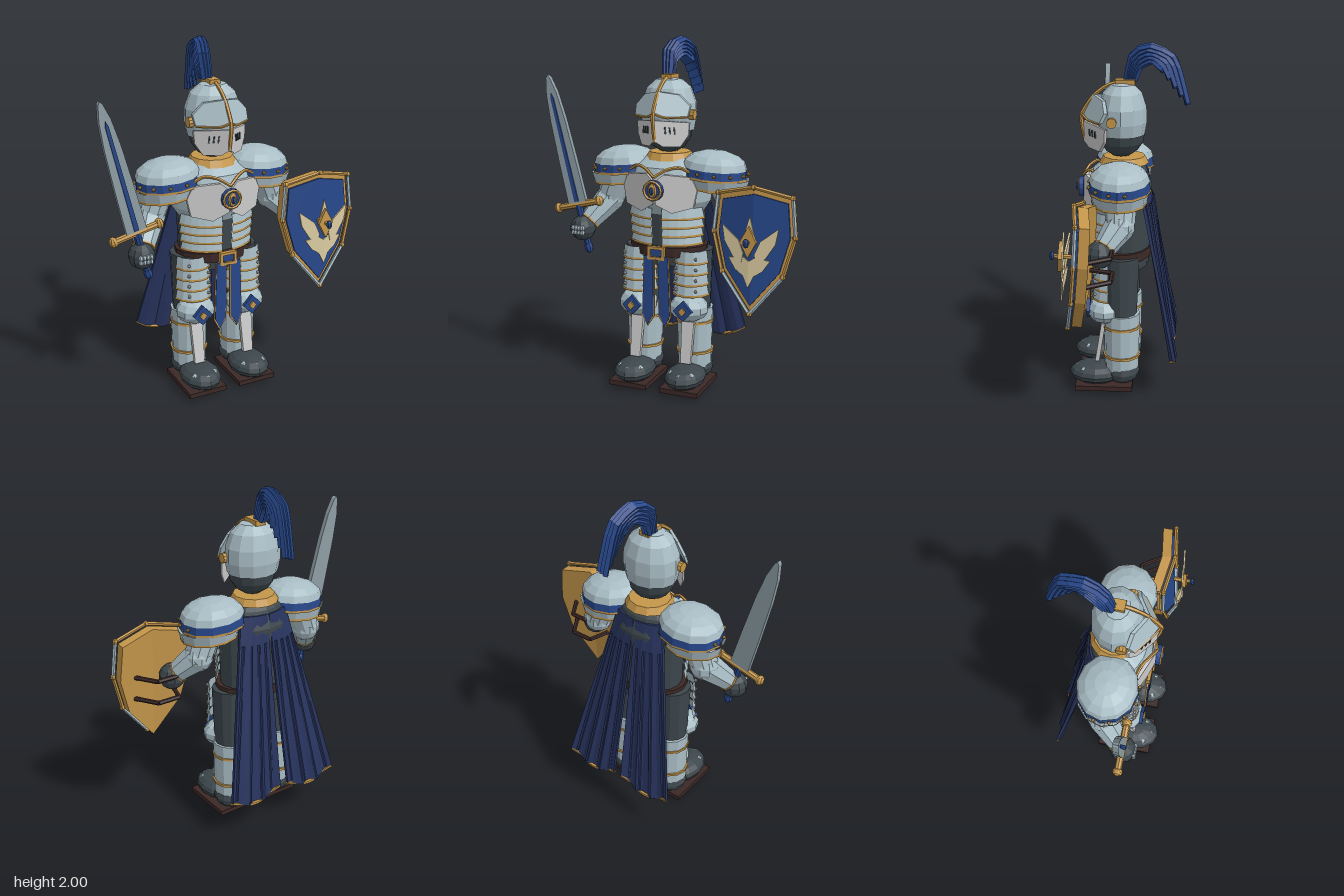
import * as THREE from 'three';

const mat = (color) => new THREE.MeshStandardMaterial({ color, flatShading: true, side: THREE.DoubleSide });
const STEEL = mat(0xa9bdc5), PALE = mat(0xcccccc), DARK = mat(0x3c464b), BLUE = mat(0x27478a), CAPE = mat(0x28345f);
const GOLD = mat(0xc4964a), BROWN = mat(0x3b2826), CREAM = mat(0xd9c99f), BLADE = mat(0x8f9fa6);
const V = (x, y, z) => new THREE.Vector3(x, y, z);

function add(parent, name, geo, material, x = 0, y = 0, z = 0) {
  const m = new THREE.Mesh(geo, material);
  m.name = name;
  m.position.set(x, y, z);
  parent.add(m);
  return m;
}
const ball = (p, name, material, x, y, z, rx, ry = rx, rz = rx, w = 10, h = 7) => {
  const m = add(p, name, new THREE.SphereGeometry(1, w, h), material, x, y, z);
  m.scale.set(rx, ry, rz);
  return m;
};
const box = (p, name, material, x, y, z, w, h, d) => add(p, name, new THREE.BoxGeometry(w, h, d), material, x, y, z);
const tube = (p, name, material, pts, r, seg = 12, closed = false, sides = 5) =>
  add(p, name, new THREE.TubeGeometry(new THREE.CatmullRomCurve3(pts, closed, 'catmullrom', 0.3), seg, r, sides, closed), material);
// Tapered rod between two points
function limb(p, name, material, a, b, ra, rb, sides = 10) {
  const m = add(p, name, new THREE.CylinderGeometry(rb, ra, a.distanceTo(b), sides), material);
  m.position.copy(a).add(b).multiplyScalar(0.5);
  m.quaternion.setFromUnitVectors(V(0, 1, 0), b.clone().sub(a).normalize());
  return m;
}
// Open curved strip of armour with a gold lower edge; angle 0 faces forward
function band(p, name, material, x, z, y0, y1, r0, r1, a0, a1, zs = 1, trim = true, seg = 6) {
  const strip = (m, lo, hi, ra, rb, n) =>
    add(p, n, new THREE.CylinderGeometry(rb, ra, hi - lo, seg, 1, true, a0, a1 - a0), m, x, (lo + hi) / 2, z).scale.set(1, 1, zs);
  strip(material, y0, y1, r0, r1, name);
  if (trim) strip(GOLD, y0 - 0.006, y0 + 0.007, r0 + 0.004, r0 + 0.004, name + 'Trim');
}
// Extruded outline, mirrored by s, folded back by k from the middle and leaning by lean
function plate(p, name, material, pts, s, depth, z, k = 0, lean = 0, y0 = 0) {
  const g = new THREE.ExtrudeGeometry(new THREE.Shape(pts.map(([x, y]) => new THREE.Vector2(x * s, y))), { depth, bevelEnabled: false });
  const q = g.attributes.position;
  for (let i = 0; i < q.count; i++) q.setZ(i, q.getZ(i) + z - k * Math.abs(q.getX(i)) - lean * (q.getY(i) - y0));
  g.computeVertexNormals();
  return add(p, name, g, material);
}
const diamond = (w, h) => [[0, h], [w, 0], [0, -h], [-w, 0]];

function leg(body, s) {
  const g = new THREE.Group();
  g.name = s > 0 ? 'leftLeg' : 'rightLeg';
  g.position.x = s * 0.157;
  body.add(g);
  box(g, 'sole', BROWN, 0, 0.035, 0.105, 0.23, 0.028, 0.33);
  ball(g, 'soleTread', BROWN, 0, 0.025, 0.105, 0.08, 0.025, 0.12);
  ball(g, 'bootToe', DARK, 0, 0.095, 0.155, 0.115, 0.065, 0.155, 12, 8);
  ball(g, 'bootHeel', DARK, 0, 0.11, 0.0, 0.108, 0.075, 0.1, 12, 8);
  for (const x of [-0.06, 0, 0.06]) ball(g, 'bootStud', STEEL, x, 0.125, 0.255 - Math.abs(x) * 0.6, 0.02, 0.018, 0.025, 6, 5);
  add(g, 'greave', new THREE.CylinderGeometry(0.105, 0.098, 0.35, 12), STEEL, 0, 0.3, 0.005);
  for (const y of [0.215, 0.395]) add(g, 'greaveRing', new THREE.CylinderGeometry(0.11, 0.11, 0.014, 12), GOLD, 0, y, 0.005);
  plate(g, 'shinPlate', PALE, [[-0.03, 0.17], [0.03, 0.17], [0.037, 0.41], [-0.037, 0.41]], 1, 0.025, 0.135, 0, 0.16, 0.17);
  ball(g, 'knee', STEEL, 0, 0.49, 0.1, 0.115, 0.08, 0.1);
  plate(g, 'kneeDiamond', BLUE, diamond(0.056, 0.06), 1, 0.02, 0.185).position.y = 0.495;
  plate(g, 'kneeGem', GOLD, diamond(0.022, 0.026), 1, 0.012, 0.203).position.y = 0.495;
  add(g, 'thigh', new THREE.CylinderGeometry(0.105, 0.09, 0.4, 12), DARK, 0, 0.62, 0.01);
  for (let i = 0; i < 4; i++) {
    const y = 0.575 + i * 0.062;
    band(g, 'tasset', STEEL, 0, 0.05, y, y + 0.068, 0.112 - i * 0.002, 0.098, -1.35, 1.35, 1.1);
    for (const x of [-0.06, 0.06]) ball(g, 'rivet', PALE, x, y + 0.03, 0.155, 0.01, 0.01, 0.01, 6, 4);
  }
}

function arm(body, s, hand) {
  const g = new THREE.Group();
  g.name = s > 0 ? 'leftArm' : 'rightArm';
  body.add(g);
  const elbow = V(s * 0.375, 1.07, 0.0), wrist = elbow.clone().lerp(hand, 0.75);
  limb(g, 'upperArm', STEEL, V(s * 0.31, 1.25, 0), elbow, 0.09, 0.08);
  ball(g, 'elbow', STEEL, elbow.x, elbow.y, elbow.z, 0.085);
  limb(g, 'vambrace', STEEL, elbow, wrist, 0.085, 0.062, 8);
  limb(g, 'cuff', GOLD, wrist, wrist.clone().lerp(hand, 0.15), 0.066, 0.066, 8);
  ball(g, 'gauntlet', DARK, hand.x, hand.y, hand.z, 0.075);
  for (let i = 0; i < 8; i++)
    ball(g, 'knuckle', STEEL, hand.x - 0.03 + (i % 4) * 0.02, hand.y + (i < 4 ? 0.012 : -0.015), hand.z + 0.065, 0.013, 0.015, 0.015, 6, 5);
  // Layered shoulder guard, drooping outwards
  const p = new THREE.Group();
  p.name = 'shoulderGuard';
  p.position.set(s * 0.27, 1.275, 0.01);
  p.rotation.z = -s * 0.07;
  g.add(p);
  add(p, 'shoulderDome', new THREE.SphereGeometry(0.185, 12, 4, 0, Math.PI * 2, 0, Math.PI / 2), STEEL, 0, 0.015).scale.set(1, 0.52, 0.9);
  band(p, 'shoulderBand', BLUE, 0, 0, -0.035, 0.025, 0.187, 0.18, 0, Math.PI * 2, 0.9, true, 12);
  band(p, 'shoulderLowerPlate', STEEL, s * 0.025, 0, -0.095, -0.035, 0.165, 0.18, 0, Math.PI * 2, 0.9, true, 12);
  for (let i = 0; i < 5; i++) {
    const a = s * (-0.2 + i * 0.5);
    ball(p, 'rivet', GOLD, 0.19 * Math.sin(a), -0.005, 0.171 * Math.cos(a), 0.011, 0.011, 0.011, 6, 4);
  }
}

function torso(body) {
  const t = add(body, 'torso', new THREE.LatheGeometry([[0, 0.73], [0.19, 0.73], [0.205, 0.85], [0.215, 1.2], [0.17, 1.3], [0.1, 1.35], [0, 1.35]]
    .map(([r, y]) => new THREE.Vector2(r, y)), 16), DARK);
  t.scale.z = 0.74;
  add(body, 'belt', new THREE.CylinderGeometry(0.23, 0.23, 0.055, 16), BROWN, 0, 0.818, 0.012).scale.z = 0.74;
  const frame = [[-0.05, 0], [0, 0.037], [0.05, 0], [0, -0.037]];
  for (const [x, y] of frame) box(body, 'buckle', GOLD, x * 0.85, 0.818 + y * 0.8, 0.2, x ? 0.016 : 0.1, x ? 0.07 : 0.016, 0.025);
  box(body, 'buckleInset', BLUE, 0, 0.818, 0.19, 0.07, 0.045, 0.02);
  const chest = add(body, 'breastplate', new THREE.LatheGeometry([[0.2, 1.03], [0.245, 1.1], [0.255, 1.2], [0.22, 1.29], [0.13, 1.345]]
    .map(([r, y]) => new THREE.Vector2(r, y)), 10, -1.6, 3.2), STEEL);
  chest.scale.z = 0.8;
  for (const s of [1, -1]) {
    for (let i = 0; i < 4; i++) {
      const y = 0.862 + i * 0.05, r = 0.216 + i * 0.003;
      const a0 = s > 0 ? 0.13 : -1.35, a1 = s > 0 ? 1.35 : -0.13;
      band(body, 'abdomenPlate', STEEL, 0, 0.01, y, y + 0.056, r + 0.008, r - 0.006, a0, a1, 0.82);
    }
    plate(body, 'chestPlate', PALE, [[0.008, 1.1], [0.09, 1.05], [0.2, 1.08], [0.22, 1.18], [0.19, 1.25], [0.05, 1.265], [0.008, 1.23]], s, 0.02, 0.215, 0.4);
    tube(body, 'chestTrim', GOLD, [V(0, 1.25, 0.23), V(s * 0.06, 1.29, 0.2), V(s * 0.13, 1.3, 0.16), V(s * 0.24, 1.235, 0.13)], 0.009);
    // Hanging cloth strips under the buckle
    const strip = [[0.01, 0.8], [0.075, 0.8], [0.088, 0.45], [0.055, 0.385], [0.012, 0.45]];
    plate(body, 'tabardTrim', GOLD, strip, s, 0.01, 0.195);
    plate(body, 'tabard', BLUE, strip.map(([x, y]) => [0.05 + (x - 0.05) * 0.86, y + (y < 0.7 ? 0.01 : 0)]), s, 0.014, 0.195);
  }
  const medal = new THREE.Group();
  medal.name = 'medallion';
  medal.position.set(0, 1.18, 0.24);
  body.add(medal);
  add(medal, 'medallionDisc', new THREE.CylinderGeometry(0.058, 0.058, 0.025, 12), BLUE).rotation.x = Math.PI / 2;
  add(medal, 'medallionRing', new THREE.TorusGeometry(0.05, 0.008, 4, 12), GOLD, 0, 0, 0.012);
  ball(medal, 'medallionSetting', GOLD, 0, 0, 0.012, 0.027, 0.04, 0.014, 8, 6);
  ball(medal, 'medallionGem', BLUE, 0, 0, 0.025, 0.013, 0.022, 0.012, 6, 5);
  add(body, 'collar', new THREE.CylinderGeometry(0.118, 0.14, 0.04, 12), GOLD, 0, 1.345, 0);
}

function helmet(body) {
  ball(body, 'head', DARK, 0, 1.49, 0.015, 0.135, 0.13, 0.13, 12, 8);
  add(body, 'helmetDome', new THREE.LatheGeometry([[0.148, 1.49], [0.162, 1.56], [0.158, 1.64], [0.128, 1.72], [0.075, 1.765], [0, 1.778]]
    .map(([r, y]) => new THREE.Vector2(r, y)), 12), STEEL, 0, 0, 0.01).scale.z = 0.85;
  for (const s of [1, -1]) {
    plate(body, 'visor', PALE, [[0, 1.56], [0.155, 1.54], [0.15, 1.47], [0.115, 1.41], [0.04, 1.415], [0, 1.45]], s, 0.015, 0.215, 0.85);
    plate(body, 'brow', STEEL, [[0, 1.71], [0.1, 1.69], [0.16, 1.63], [0.155, 1.575], [0.04, 1.575], [0, 1.6]], s, 0.02, 0.215, 0.7, 0.45, 1.58);
    tube(body, 'browTrim', GOLD, [V(0, 1.598, 0.235), V(s * 0.05, 1.573, 0.2), V(s * 0.155, 1.572, 0.125)], 0.007);
    for (let i = 0; i < 3; i++) {
      const x = 0.05 + i * 0.02;
      box(body, 'breathSlit', DARK, s * x, 1.503 - i * 0.002, 0.23 - 0.85 * x, 0.008, 0.038, 0.012).rotation.set(0, s * 0.7, s * 0.12);
    }
    add(body, 'templeDisc', new THREE.CylinderGeometry(0.028, 0.028, 0.03, 10), GOLD, s * 0.157, 1.58, 0.06).rotation.z = Math.PI / 2;
  }
  tube(body, 'helmetRidge', GOLD, [V(0, 1.78, 0.03), V(0, 1.755, 0.1), V(0, 1.7, 0.17), V(0, 1.6, 0.236), V(0, 1.53, 0.235), V(0, 1.44, 0.215)], 0.011, 16);
  box(body, 'plumeHolder', GOLD, -0.002, 1.777, -0.005, 0.06, 0.03, 0.11);
  // Plume: nested arching strands, inner ones shorter
  for (let j = 0; j < 5; j++) for (let i = -1; i <= 1; i++) {
    const x = i * 0.02, d = i * 0.008;
    tube(body, 'plumeStrand', BLUE, [V(x * 0.8 - 0.02, 1.785, -0.012 - j * 0.011), V(x - 0.025, 1.92 - j * 0.015, -0.04 - j * 0.012),
      V(x, 1.983 - j * 0.02 - Math.abs(d), -0.13 - j * 0.006), V(x + 0.02, 1.915 - j * 0.012, -0.275 + j * 0.022),
      V(x + 0.035, 1.665 + j * 0.045 + d, -0.35 + j * 0.034)], 0.017, 10, false, 4);
  }
}

function cape(body) {
  const at = (u, v, s) => V(s * (0.006 + 0.02 * v + u * (0.145 + 0.19 * v)), 1.28 - v * (1.01 + 0.06 * Math.sin(Math.PI * u)),
    -0.13 - 0.16 * v + 0.045 * u * u * (1 - v) - 0.012 * Math.cos(u * Math.PI * 6) * v);
  for (const s of [1, -1]) {
    const g = new THREE.BoxGeometry(1, 1, 0.018, 9, 6, 1), q = g.attributes.position;
    for (let i = 0; i < q.count; i++) {
      const p = at(s * q.getX(i) + 0.5, 0.5 - q.getY(i), s);
      q.setXYZ(i, p.x, p.y, p.z + q.getZ(i));
    }
    add(body, 'capePanel', g, CAPE);
    for (const u of [0.15, 0.4, 0.65, 0.9])
      tube(body, 'capeFold', CAPE, [0.15, 0.5, 0.98].map((v) => at(u, v, s).add(V(0, 0, -0.012))), 0.009, 6);
    tube(body, 'capeHem', GOLD, [0, 0.2, 0.4, 0.6, 0.8, 1].map((u) => at(u, 1, s)), 0.011, 10);
  }
}

function sword(root) {
  const g = new THREE.Group();
  g.name = 'sword';
  g.position.set(-0.555, 1.04, 0.14);
  g.rotation.z = 0.235;
  root.add(g);
  const edge = [[0, -0.02], [0.058, 0], [0.054, 0.25], [0.046, 0.5], [0.033, 0.65], [0.012, 0.74], [0, 0.755]];
  for (const s of [1, -1]) plate(g, 'blade', BLADE, edge, s, 0.03, -0.015);
  plate(g, 'fuller', BLUE, [[-0.013, 0.02], [0.013, 0.02], [0.009, 0.62], [0, 0.65], [-0.009, 0.62]], 1, 0.012, 0.01);
  limb(g, 'guard', GOLD, V(-0.13, 0, 0), V(0.13, 0, 0), 0.02, 0.02, 8);
  for (const s of [1, -1]) ball(g, 'guardEnd', GOLD, s * 0.135, 0, 0, 0.024, 0.03, 0.03, 8, 6);
  limb(g, 'grip', BLUE, V(0, -0.24, 0), V(0, 0, 0), 0.02, 0.022, 8);
  ball(g, 'pommel', BLUE, 0, -0.255, 0, 0.026, 0.034, 0.026, 8, 6);
}

function shield(root) {
  const g = new THREE.Group();
  g.name = 'shield';
  g.position.set(0.525, 0.92, 0.2);
  g.rotation.x = -0.065;
  root.add(g);
  const half = [[0, 0.31], [0.2, 0.265], [0.22, 0.06], [0.165, -0.15], [0, -0.36]];
  for (const s of [1, -1]) {
    plate(g, 'shieldBody', GOLD, half, s, 0.055, -0.03, 0.15);
    plate(g, 'shieldFace', BLUE, half.map(([x, y]) => [x * 0.9, y * 0.9]), s, 0.016, 0.022, 0.15);
    const rim = half.map(([x, y]) => V(s * x * 1.03, y * 1.02, 0.045 - 0.15 * x));
    for (let i = 0; i < 4; i++) limb(g, 'shieldRim', i % 2 ? STEEL : GOLD, rim[i], rim[i + 1], 0.011, 0.011, 5);
    for (const p of rim) ball(g, 'rimStud', GOLD, p.x, p.y, p.z, 0.016, 0.016, 0.016, 6, 5);
    // Plain spread-wing ornament
    plate(g, 'wingUpper', CREAM, [[0.03, -0.03], [0.06, 0.04], [0.155, 0.115], [0.14, 0.03], [0.09, -0.05], [0.04, -0.08]], s, 0.01, 0.085, 0.1);
    plate(g, 'wingLower', CREAM, [[0, -0.07], [0.03, -0.05], [0.115, -0.06], [0.075, -0.12], [0.03, -0.15], [0, -0.215]], s, 0.01, 0.08, 0.1);
  }
  plate(g, 'ornamentSpike', CREAM, [[0, 0.17], [0.03, 0.06], [-0.03, 0.06]], 1, 0.01, 0.085);
  plate(g, 'ornamentDiamond', GOLD, diamond(0.045, 0.085), 1, 0.022, 0.09).position.y = 0.035;
  ball(g, 'ornamentGem', BLUE, 0, 0.035, 0.145, 0.018, 0.025, 0.014, 8, 6);
  limb(g, 'gemPost', GOLD, V(0, 0.035, 0), V(0, 0.035, 0.135), 0.014, 0.012, 6);
  // Arm straps
  for (const y of [0.97, 0.84]) {
    const p = [V(0.4, y, 0.17), V(0.44, y, 0.035), V(0.57, y, 0.035), V(0.65, y, 0.16)];
    for (let i = 0; i < 3; i++) limb(root, 'strap', BROWN, p[i], p[i + 1], 0.013, 0.013, 6);
  }
}

export function createModel() {
  const root = new THREE.Group();
  root.name = 'knight';
  const body = new THREE.Group();
  body.name = 'body';
  body.position.x = -0.042;
  root.add(body);
  for (const s of [1, -1]) leg(body, s);
  torso(body);
  arm(body, -1, V(-0.488, 0.905, 0.14));
  arm(body, 1, V(0.485, 0.945, 0.1));
  helmet(body);
  cape(body);
  sword(root);
  shield(root);
  return root;
}
